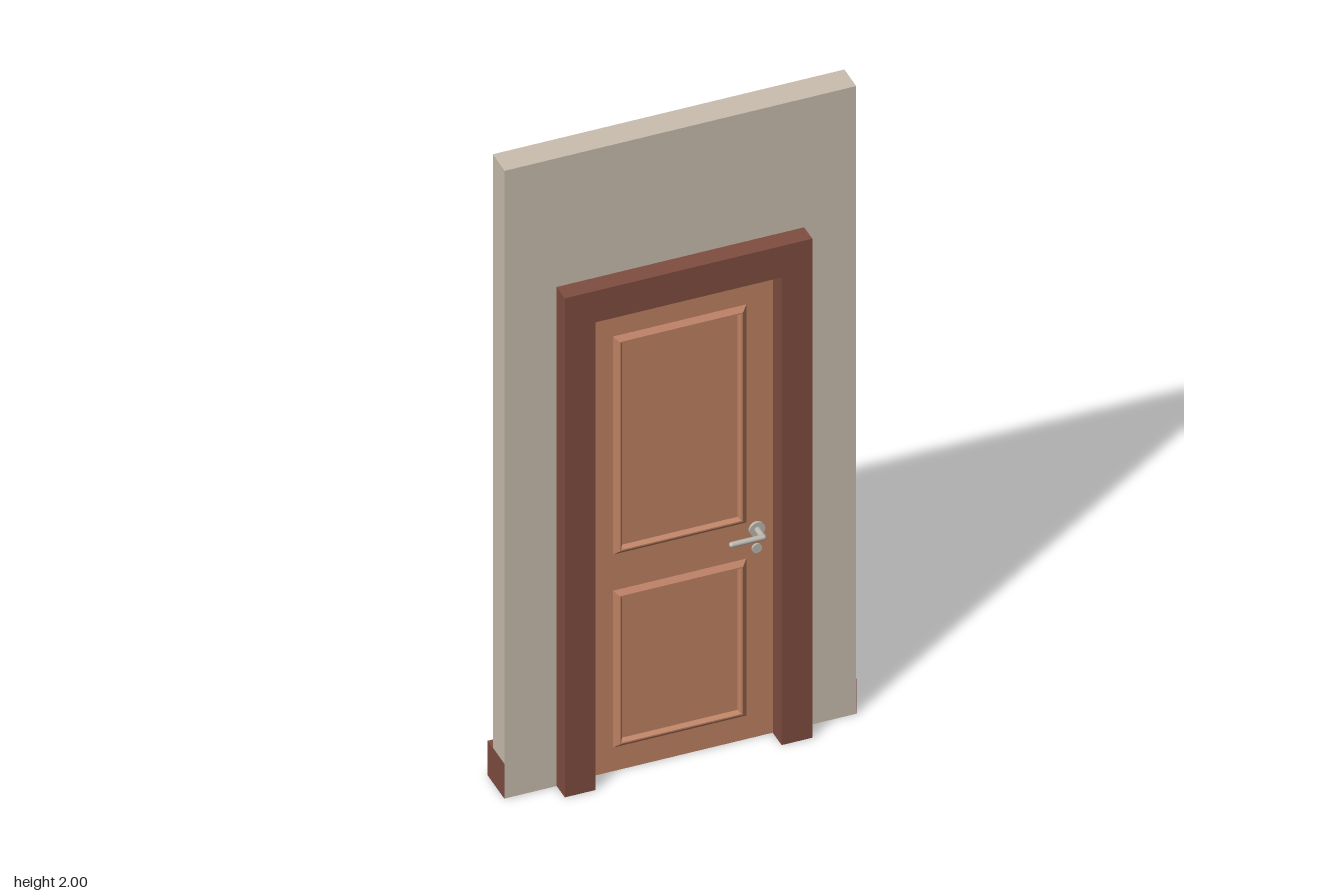
import * as THREE from 'three';

const flat = (name, color) => {
  const m = new THREE.MeshStandardMaterial({ color });
  m.name = name;
  return m;
};

export function createModel() {
  const plaster = flat('plaster', 0xc9bdae);
  const darkWood = flat('darkWood', 0x804d40);
  const doorWood = flat('doorWood', 0xbe8163);
  const metal = flat('metal', 0xb9b6ac);
  // dark wood boxes that stand on the floor have a plaster underside
  const standing = [darkWood, darkWood, darkWood, plaster, darkWood, darkWood];

  const root = new THREE.Group();
  root.name = 'doorway';
  const add = (parent, name, geometry, material) => {
    const mesh = new THREE.Mesh(geometry, material);
    mesh.name = name;
    parent.add(mesh);
    return mesh;
  };
  const box = (parent, name, material, x0, x1, y0, y1, z0, z1) => {
    const g = new THREE.BoxGeometry(x1 - x0, y1 - y0, z1 - z0);
    g.translate((x0 + x1) / 2, (y0 + y1) / 2, (z0 + z1) / 2);
    return add(parent, name, g, material);
  };

  const W = 0.494, FO = 0.347, FI = 0.261, TOP = 1.59, HEAD = 1.49, DOOR_Z = 0.04;

  // wall with the door opening cut out, sides a hair inside the skirting ends
  const e = W - 0.001;
  const wall = new THREE.Shape();
  [[-e, 0], [-0.3, 0], [-0.3, 1.54], [0.3, 1.54], [0.3, 0], [e, 0], [e, 2], [-e, 2]]
    .forEach(([x, y], i) => (i ? wall.lineTo(x, y) : wall.moveTo(x, y)));
  const wallGeo = new THREE.ExtrudeGeometry(wall, { depth: 0.08, bevelEnabled: false });
  wallGeo.translate(0, 0, -0.035);
  add(root, 'wall', wallGeo, plaster);

  // door frame and skirting
  for (const [side, s] of [['left', 1], ['right', -1]]) {
    const span = (a, b) => (s > 0 ? [a, b] : [-b, -a]);
    box(root, side + 'Jamb', standing, ...span(FI, FO), 0, TOP, -0.1, 0.1);
    box(root, side + 'Skirting', standing, ...span(FO - 0.02, W), 0, 0.11, -0.068, 0.044);
  }
  box(root, 'lintel', darkWood, -FI, FI, HEAD, TOP, -0.1, 0.1);

  // door leaf
  const door = new THREE.Group();
  door.name = 'door';
  root.add(door);
  box(door, 'doorLeaf', doorWood, -FI, FI, 0, HEAD, -DOOR_Z, DOOR_Z);

  // mitred moulding: rectangles stepping inward along a ridge profile
  const profile = [[0, 0], [0.014, 0.012], [0.018, 0.012], [0.025, 0]];
  const moulding = (hw, y0, y1) => {
    const rings = profile.map(([d, h]) => [
      [-hw + d, y0 + d, h], [hw - d, y0 + d, h], [hw - d, y1 - d, h], [-hw + d, y1 - d, h],
    ]);
    const pos = [];
    for (let i = 0; i < rings.length - 1; i++) {
      for (let k = 0; k < 4; k++) {
        const n = (k + 1) % 4;
        const a = rings[i][k], b = rings[i][n], c = rings[i + 1][n], d = rings[i + 1][k];
        pos.push(...a, ...b, ...c, ...a, ...c, ...d);
      }
    }
    const g = new THREE.BufferGeometry();
    g.setAttribute('position', new THREE.Float32BufferAttribute(pos, 3));
    g.computeVertexNormals();
    return g;
  };

  // mouldings and handle set for one face of the door
  const HX = 0.215, HY = 0.665;
  const disc = (r, depth, x, y, z) => {
    const g = new THREE.CylinderGeometry(r, r, depth, 24);
    g.rotateX(Math.PI / 2);
    g.translate(x, y, z + depth / 2);
    return g;
  };
  for (const [name, s] of [['front', 1], ['back', -1]]) {
    const face = new THREE.Group();
    face.name = name + 'Fittings';
    face.position.z = s * DOOR_Z;
    if (s < 0) face.rotation.y = Math.PI;
    door.add(face);
    add(face, 'upperMoulding', moulding(0.187, 0.69, 1.385), doorWood);
    add(face, 'lowerMoulding', moulding(0.187, 0.075, 0.575), doorWood);

    const x = s * HX;
    add(face, 'handleRose', disc(0.022, 0.008, x, HY, 0), metal);
    add(face, 'handleNeck', disc(0.009, 0.045, x, HY, 0), metal);
    add(face, 'lockRose', disc(0.014, 0.006, x, HY - 0.062, 0), metal);
    const lever = new THREE.CapsuleGeometry(0.008, 0.088, 6, 16);
    lever.rotateZ(Math.PI / 2);
    lever.translate(x - s * 0.043, HY, 0.045);
    add(face, 'handleLever', lever, metal);
  }
  return root;
}
